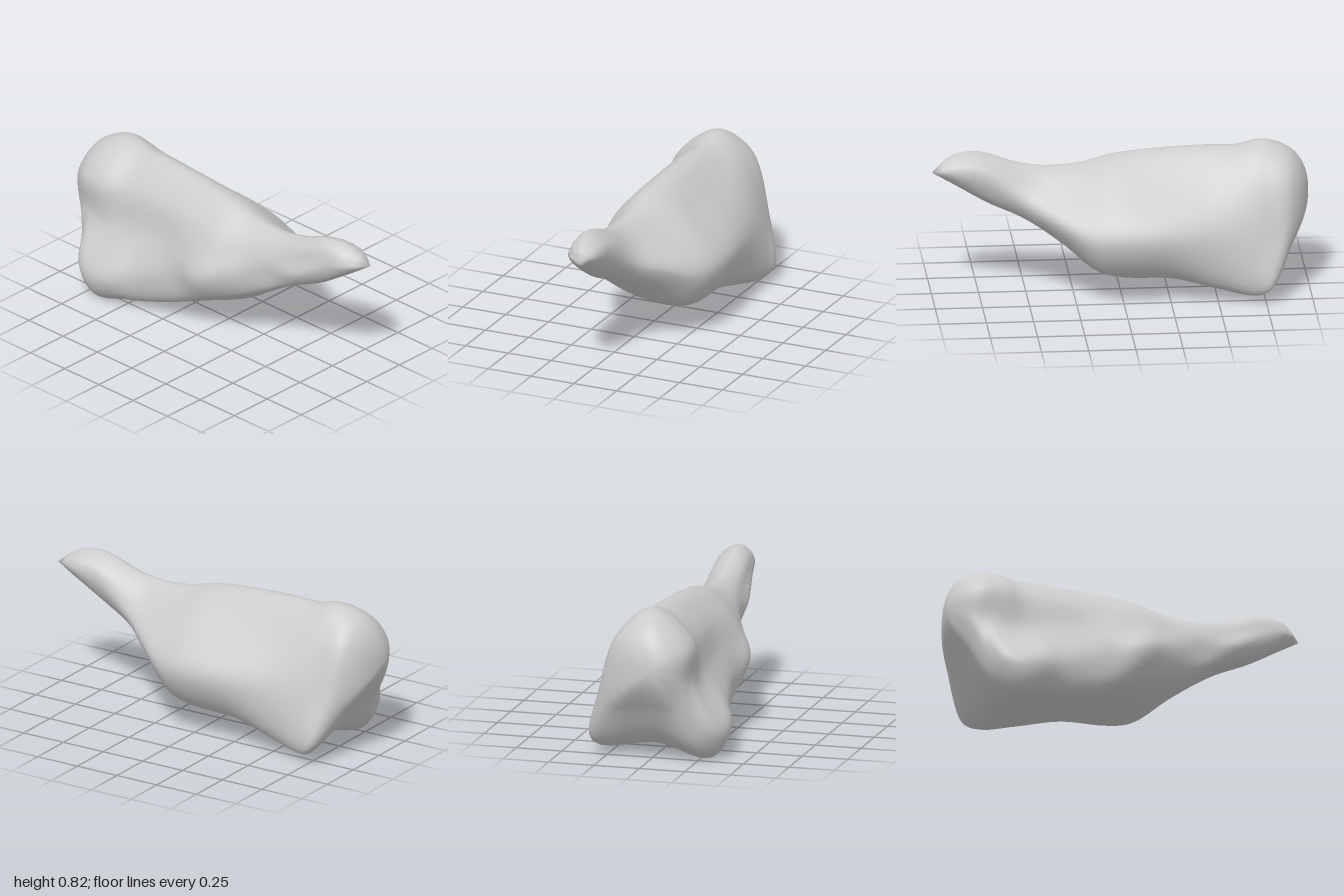
import * as THREE from 'three';
import { mergeVertices } from 'three/addons/utils/BufferGeometryUtils.js';

// Both ends of the bone, shared by every rail
const BUTT = [-1, 0.53, 0.06], TIP = [1, 0.685, -0.03];

// Landmark rails [x, y, z] running from the heavy end to the pointed end
const topRidge = [[-0.95, 0.7, 0.04], [-0.88, 0.77, 0.02], [-0.75, 0.815, -0.01], [-0.6, 0.787, 0], [-0.48, 0.79, 0], [-0.2, 0.775, 0.01],
  [0.05, 0.745, 0.02], [0.2, 0.705, 0.02], [0.4, 0.69, 0.02], [0.55, 0.715, 0.02], [0.75, 0.78, 0.02], [0.9, 0.765, 0]];
const backShoulder = [[-0.9, 0.68, -0.14], [-0.75, 0.69, -0.17], [-0.4, 0.65, -0.165], [-0.15, 0.63, -0.18], [0.05, 0.6, -0.215],
  [0.25, 0.58, -0.16], [0.45, 0.61, -0.085], [0.75, 0.72, -0.08], [0.9, 0.73, -0.07]];
const backBulge = [[-0.9, 0.47, -0.215], [-0.78, 0.35, -0.29], [-0.5, 0.38, -0.335], [-0.15, 0.39, -0.385],
  [0.05, 0.38, -0.38], [0.2, 0.39, -0.335], [0.35, 0.45, -0.24], [0.5, 0.51, -0.135], [0.7, 0.63, -0.095], [0.9, 0.69, -0.085]];
const backFoot = [[-0.9, 0.3, -0.2], [-0.79, 0.1, -0.325], [-0.7, 0.05, -0.31], [-0.5, 0.09, -0.285],
  [-0.25, 0.15, -0.27], [0, 0.155, -0.26], [0.15, 0.2, -0.26], [0.3, 0.31, -0.18], [0.5, 0.43, -0.08], [0.7, 0.53, -0.05], [0.9, 0.64, -0.05]];
const underGroove = [[-0.9, 0.31, 0], [-0.76, 0.12, 0], [-0.65, 0.06, 0], [-0.3, 0.095, 0], [0, 0.145, -0.03],
  [0.15, 0.175, -0.05], [0.3, 0.28, 0], [0.5, 0.405, 0.02], [0.7, 0.495, 0.02], [0.9, 0.62, 0]];
const frontFoot = [[-0.9, 0.3, 0.14], [-0.8, 0.09, 0.23], [-0.68, 0.003, 0.3], [-0.5, 0.035, 0.28],
  [-0.3, 0.08, 0.24], [0, 0.2, 0.22], [0.2, 0.28, 0.175], [0.35, 0.35, 0.13], [0.5, 0.43, 0.105], [0.7, 0.52, 0.08], [0.9, 0.635, 0.05]];
const frontBulge = [[-0.9, 0.38, 0.19], [-0.84, 0.24, 0.25], [-0.79, 0.18, 0.33], [-0.7, 0.15, 0.38], [-0.55, 0.17, 0.38], [-0.4, 0.21, 0.32],
  [-0.15, 0.31, 0.275], [0.05, 0.37, 0.305], [0.2, 0.42, 0.235], [0.4, 0.48, 0.145], [0.6, 0.54, 0.135], [0.8, 0.64, 0.098], [0.92, 0.68, 0.07]];
const frontWaist = [[-0.92, 0.48, 0.19], [-0.8, 0.43, 0.23], [-0.7, 0.4, 0.24], [-0.55, 0.42, 0.23],
  [-0.3, 0.47, 0.22], [0.05, 0.51, 0.245], [0.25, 0.55, 0.175], [0.5, 0.58, 0.127], [0.75, 0.68, 0.1], [0.9, 0.715, 0.07]];
const frontShoulder = [[-0.95, 0.6, 0.16], [-0.85, 0.63, 0.22], [-0.72, 0.64, 0.22], [-0.6, 0.64, 0.18],
  [-0.35, 0.65, 0.165], [0.05, 0.655, 0.155], [0.25, 0.645, 0.11], [0.5, 0.665, 0.09], [0.75, 0.74, 0.08], [0.9, 0.74, 0.05]];

// Square-root spacing rounds off the heavy end
const along = x => Math.sqrt(x + 1);

// Smooth (Hermite) sampler giving y and z of a rail at parameter u
function railSampler(points) {
  const p = [BUTT, ...points, TIP].map(([x, y, z]) => [along(x), y, z]);
  const slope = (i, k) => {
    const a = p[Math.max(i - 1, 0)], b = p[Math.min(i + 1, p.length - 1)];
    return (b[k] - a[k]) / (b[0] - a[0]);
  };
  return u => {
    let i = 0;
    while (i < p.length - 2 && u > p[i + 1][0]) i++;
    const h = p[i + 1][0] - p[i][0], t = (u - p[i][0]) / h, t2 = t * t, t3 = t2 * t;
    const value = k => (2 * t3 - 3 * t2 + 1) * p[i][k] + (t3 - 2 * t2 + t) * h * slope(i, k)
      + (3 * t2 - 2 * t3) * p[i + 1][k] + (t3 - t2) * h * slope(i + 1, k);
    return [value(1), value(2)];
  };
}

// Closed cross-sections through the rails, lofted end to end
function loftRails(rails, rings, sides) {
  const samplers = rails.map(railSampler), position = [], index = [];
  for (let i = 0; i <= rings; i++) {
    const u = along(1) * i / rings, x = u * u - 1;
    const knots = samplers.map(s => { const [y, z] = s(u); return new THREE.Vector3(x, y, z); });
    const section = new THREE.CatmullRomCurve3(knots, true, 'centripetal');
    for (let j = 0; j < sides; j++) {
      const v = section.getPoint(j / sides);
      position.push(x, Math.max(v.y, 0), v.z);
      const k = (j + 1) % sides, a = i * sides + j, b = i * sides + k;
      if (i < rings) {
        if (i > 0) index.push(a, a + sides, b);
        if (i < rings - 1) index.push(b, a + sides, b + sides);
      }
    }
  }
  const geometry = new THREE.BufferGeometry();
  geometry.setAttribute('position', new THREE.Float32BufferAttribute(position, 3));
  geometry.setIndex(index);
  const merged = mergeVertices(geometry, 1e-5);
  merged.computeVertexNormals();
  return merged;
}

export function createModel() {
  const group = new THREE.Group();
  group.name = 'bone';
  const rails = [topRidge, backShoulder, backBulge, backFoot, underGroove, frontFoot, frontBulge, frontWaist, frontShoulder];
  const body = new THREE.Mesh(loftRails(rails, 72, 63), new THREE.MeshStandardMaterial({ color: 0xcccccc }));
  body.name = 'boneBody';
  group.add(body);
  return group;
}
